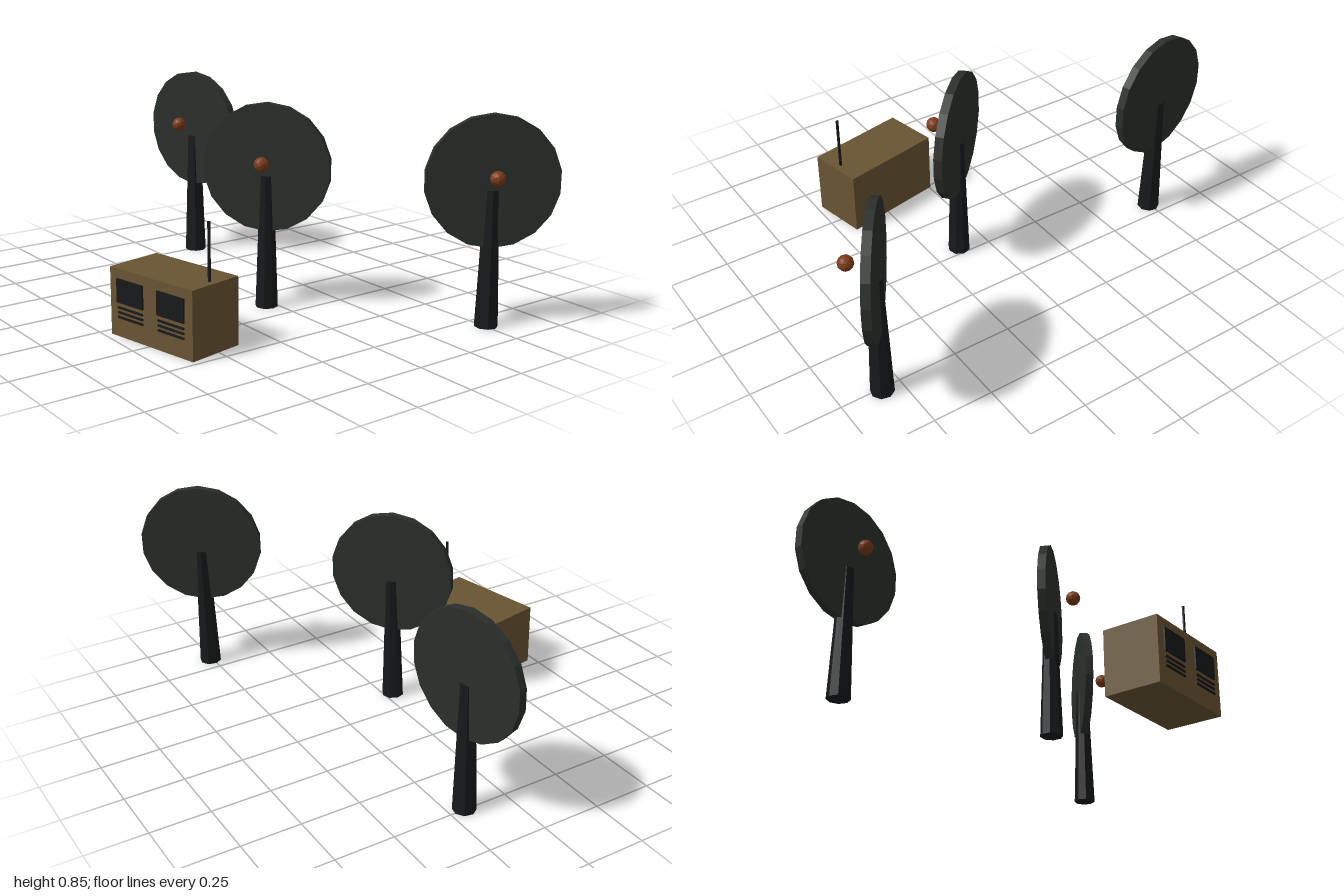
import * as THREE from 'three';

const mat = (color) => new THREE.MeshStandardMaterial({ color, flatShading: true });
const mats = {
  trunk: mat(0x17191a),
  disc: mat(0x2b302b),
  ball: mat(0x7c3a18),
  body: mat(0x695532),
  dark: mat(0x17191a),
};

function add(parent, name, geometry, material, x, y, z) {
  const mesh = new THREE.Mesh(geometry, material);
  mesh.name = name;
  mesh.position.set(x, y, z);
  parent.add(mesh);
  return mesh;
}

// Tapered post carrying an upright round disc, with a small ball in front
function makeDish(name, x, z, turn) {
  const dish = new THREE.Group();
  dish.name = name;
  const discGeo = new THREE.CylinderGeometry(0.262, 0.262, 0.035, 18).rotateX(Math.PI / 2);
  add(dish, 'post', new THREE.CylinderGeometry(0.028, 0.047, 0.55, 8), mats.trunk, 0, 0.275, 0);
  add(dish, 'disc', discGeo, mats.disc, 0, 0.584, 0);
  add(dish, 'receiverBall', new THREE.IcosahedronGeometry(0.031, 1), mats.ball, 0, 0.615, 0.098);
  dish.position.set(x, 0, z);
  dish.rotation.y = turn;
  return dish;
}

// Box hut with two windows, vent slats under each and a roof aerial
function makeHut() {
  const hut = new THREE.Group();
  hut.name = 'hut';
  const h = 0.272, depth = 0.24, front = depth / 2;
  add(hut, 'body', new THREE.BoxGeometry(0.444, h, depth), mats.body, 0, h / 2, 0);
  for (const x of [-0.11, 0.11]) {
    add(hut, 'window', new THREE.BoxGeometry(0.143, 0.095, 0.014), mats.dark, x, 0.186, front);
    for (let i = 0; i < 3; i++) {
      add(hut, 'ventSlat', new THREE.BoxGeometry(0.138, 0.008, 0.01), mats.dark, x, 0.118 - i * 0.019, front);
    }
  }
  add(hut, 'aerial', new THREE.CylinderGeometry(0.006, 0.006, 0.23, 6), mats.dark, 0.19, 0.385, 0);
  hut.position.set(0.236, 0, 0.558);
  hut.rotation.y = 0.2;
  return hut;
}

export function createModel() {
  const model = new THREE.Group();
  model.name = 'dishStation';
  model.add(
    makeDish('rightDish', -0.745, -0.185, 0.2),
    makeDish('middleDish', 0.127, 0.04, 0.7),
    makeDish('leftDish', 0.83, -0.51, 0.95),
    makeHut(),
  );
  return model;
}
